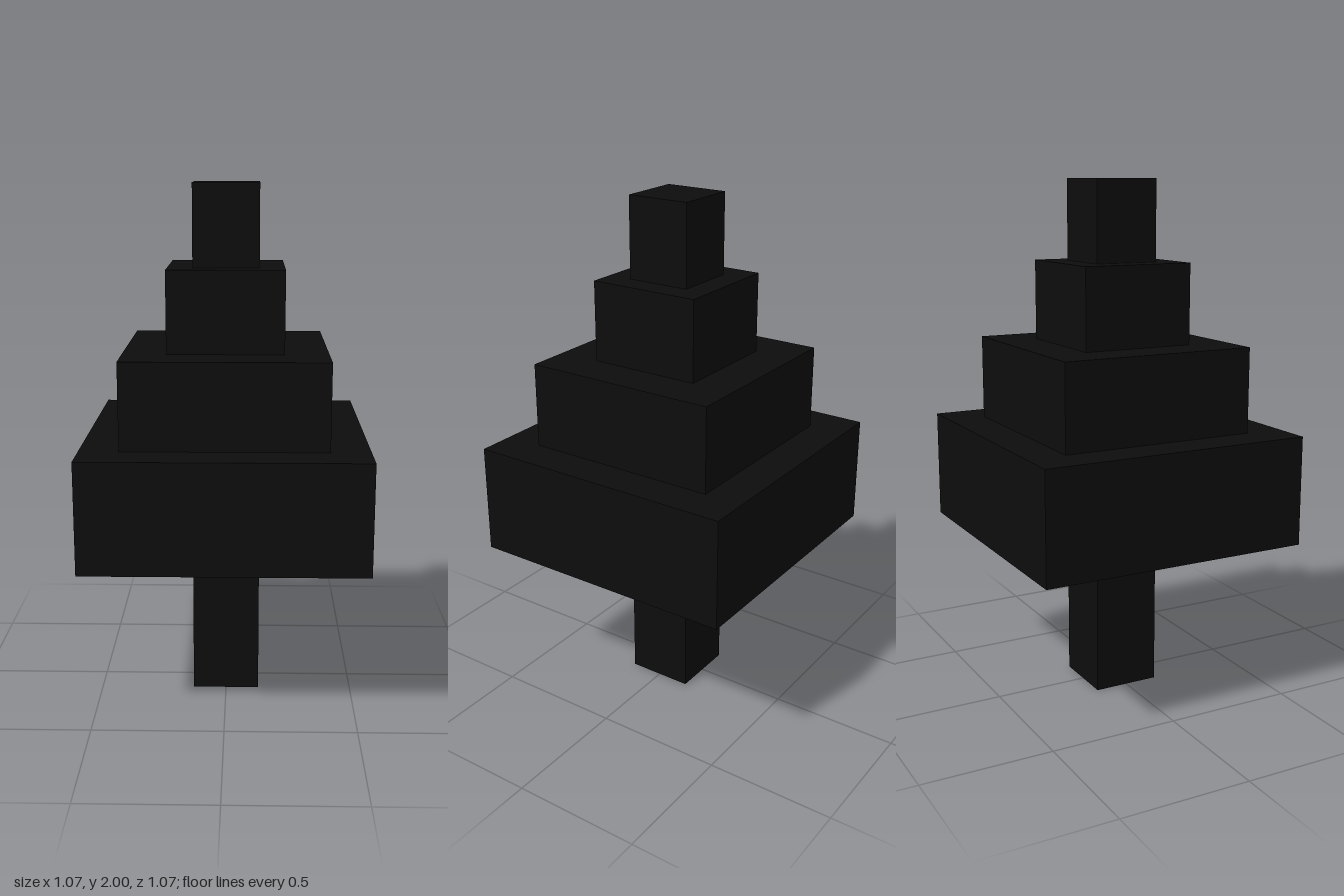
import * as THREE from 'three';

export function createModel() {
  const model = new THREE.Group();
  model.name = 'steppedTree';

  const black = new THREE.MeshStandardMaterial({ color: 0x0d0d0d });
  black.name = 'black';

  // Square block centred on the axis, from height y0 to y1
  function block(name, width, y0, y1) {
    const mesh = new THREE.Mesh(new THREE.BoxGeometry(width, y1 - y0, width), black);
    mesh.name = name;
    mesh.position.y = (y0 + y1) / 2;
    model.add(mesh);
  }

  block('trunk', 0.26, 0, 0.625);

  // Foliage tiers, widest first
  const widths = [1.067, 0.77, 0.44, 0.25];
  const heights = [0.625, 1.05, 1.38, 1.69, 2];
  widths.forEach((w, i) => block(`foliageTier${i + 1}`, w, heights[i], heights[i + 1]));

  return model;
}
